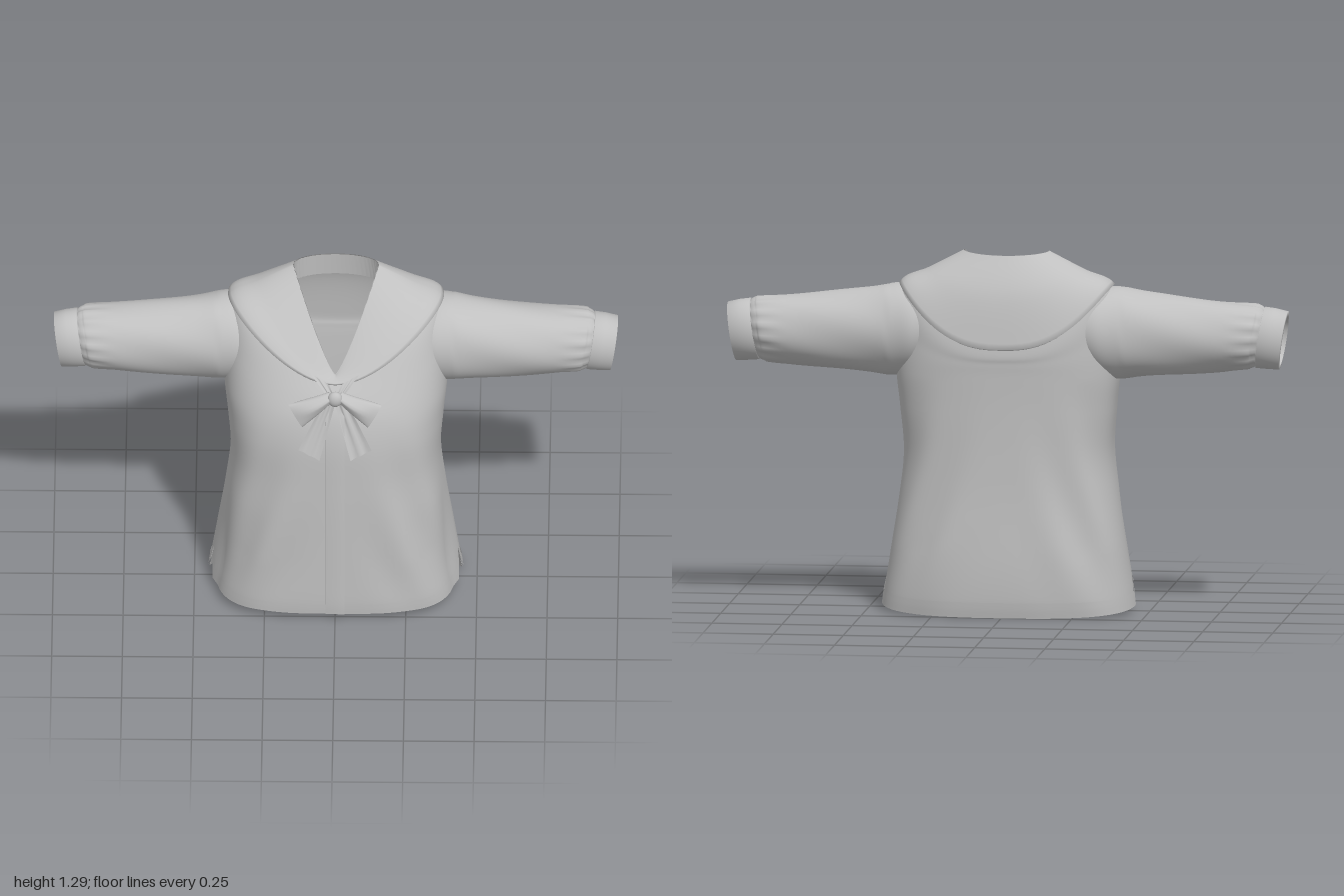
import * as THREE from 'three';

const fabric = new THREE.MeshStandardMaterial({ color: 0xc0c0c0, side: THREE.DoubleSide });
fabric.name = 'grey fabric';

// Surface through rows of points; closed rows wrap round, skipped quads leave a hole
function loft(rows, closed = true, skip = () => false) {
  const n = rows[0].length, index = [];
  for (let i = 0; i < rows.length - 1; i++) {
    for (let j = 0; j < (closed ? n : n - 1); j++) {
      const k = (j + 1) % n, a = i * n + j, b = i * n + k;
      if (!skip(rows[i][j])) index.push(a, a + n, b, b, a + n, b + n);
    }
  }
  const g = new THREE.BufferGeometry();
  g.setAttribute('position', new THREE.Float32BufferAttribute(rows.flat(2), 3));
  g.setIndex(index);
  g.computeVertexNormals();
  return g;
}

function add(parent, name, geometry) {
  const m = new THREE.Mesh(geometry, fabric);
  m.name = name;
  parent.add(m);
  return m;
}

// Smooth interpolation through a list of parameter rows
function sample(list, t) {
  const i = Math.min(Math.floor(t), list.length - 2), f = t - i;
  const at = (k) => list[Math.max(0, Math.min(list.length - 1, k))];
  const [p, q, r, s] = [at(i - 1), at(i), at(i + 1), at(i + 2)];
  return q.map((b, k) => {
    const m0 = (r[k] - p[k]) / 2, m1 = (s[k] - b) / 2, d = r[k] - b;
    return b + f * (m0 + f * (3 * d - 2 * m0 - m1 + f * (m0 + m1 - 2 * d)));
  });
}

// Torso rings: half width, side z, front z, back z, side y, front y, back y,
// front roundness, back roundness, drop from side to centre in front and behind
const TORSO = [
  [.45, .015, .272, -.25, .035, .035, .005, .64, .72, 1, 1],
  [.442, .015, .275, -.26, .09, .085, .07, .64, .72, 1, 1],
  [.423, .015, .275, -.262, .2, .2, .2, .66, .72, 1, 1],
  [.39, .0, .275, -.252, .42, .42, .42, .69, .74, 1, 1],
  [.372, -.02, .273, -.25, .58, .58, .58, .72, .75, 1, 1],
  [.383, -.04, .268, -.252, .74, .74, .74, .74, .75, 1, 1],
  [.395, -.05, .249, -.256, .87, .85, .86, .8, .74, 1.3, 1.3],
  [.39, -.06, .22, -.259, 1.04, .92, .91, .92, .74, 1.8, 2.2],
  [.37, -.07, .187, -.26, 1.175, .972, .962, 1.1, .78, 2.2, 2.9],
  [.27, -.08, .174, -.23, 1.228, .984, 1.15, 1.25, .87, 1.9, 2.2],
  [.15, -.085, .16, -.165, 1.293, .99, 1.283, 1.6, 1, 1.4, 1.4],
];
const N = 96;

function ring(p, off = 0, lift = 0) {
  const [w, zs, zf, zb, ys, yf, yb, ef, eb, kf, kb] = p, pts = [];
  const { clamp, smoothstep } = THREE.MathUtils;
  for (let j = 0; j < N; j++) {
    const a = (j / N) * Math.PI * 2;
    const c = j % (N / 2) === N / 4 ? 0 : Math.cos(a), s = j % (N / 2) === 0 ? 0 : Math.sin(a);
    const front = s >= 0, e = front ? ef : eb;
    const u = Math.abs(s) ** e;
    let x = Math.sign(c) * (w + off) * Math.abs(c) ** e;
    let z = zs + (front ? zf + off - zs : zb - off - zs) * u;
    let y = ys + ((front ? yf : yb) - ys) * u ** (front ? kf : kb) + lift;
    // the front panel is a little narrower towards the hem
    if (front) x *= 1 - .07 * Math.min(1, u * 3) * (1 - smoothstep(y, .1, .6));
    // side vents in the hem
    if (s === 0 && y < .145) {
      x = Math.sign(c) * (.432 + off);
      y = .145;
    }
    // soft drape folds, fading at the centre lines and at the bust
    const fade = clamp((.85 - y) * 2, 0, 1) * clamp(y * 4, 0, 1);
    const fold = .016 * fade * Math.abs(c * s) * Math.sin(Math.abs(c) * 11 + y * 9 + (front ? 0 : 2));
    z += fold * Math.sign(s);
    x += fold * .6 * Math.sign(c);
    pts.push([x, y, z]);
  }
  return pts;
}

function torsoRows(t0, t1, steps, off = () => 0, lift = 0) {
  return Array.from({ length: steps + 1 }, (_, i) => {
    const t = t0 + (t1 - t0) * i / steps;
    return ring(sample(TORSO, t), off(t), lift);
  });
}

// Openings where the sleeves join the torso
const inArmhole = ([x, y, z]) =>
  Math.abs(x) > .3 && ((y - 1) / .125) ** 2 + ((z + .06) / .11) ** 2 < 1;

// Sleeve sections: x, centre y, half height, centre z, half depth
const SLEEVE = [
  [.27, 1.025, .125, -.085, .125], [.33, 1.012, .155, -.075, .146], [.4, 1.008, .164, -.067, .14],
  [.5, 1.004, .15, -.063, .131], [.7, .999, .131, -.06, .12],
  [.85, 1, .117, -.06, .11], [.885, 1, .11, -.059, .099], [.905, .998, .1, -.058, .085],
];
const CUFF = [
  [.9, .998, .1, -.057, .083], [.902, .998, .109, -.057, .092], [.94, .994, .108, -.056, .09],
  [.983, .988, .104, -.055, .085], [.985, .988, .086, -.055, .073], [.9, .998, .087, -.057, .073],
];

function sleeveRing([x, cy, ry, cz, rz], side) {
  const pts = [], n = 60;
  const gather = Math.max(0, 1 - Math.abs(x - .875) / .09) * (x < .899 ? 1 : 0);
  const tilt = .15 * THREE.MathUtils.smoothstep(x, .75, .9);
  for (let j = 0; j < n; j++) {
    const a = (j / n) * Math.PI * 2;
    // gathers by the cuff and long soft creases along the arm
    const crease = x > .42 && x < .88 ? .012 * Math.sin(a * 5 + x * 14) : 0;
    const r = 1 + gather * .035 * Math.sin(a * 15) + crease;
    const dy = Math.cos(a) * ry * r;
    pts.push([side * (x + dy * tilt), cy + dy, cz - side * Math.sin(a) * rz * r]);
  }
  return pts;
}

// Bow leans out over the bust and follows the collar above the knot
const bowZ = (y) => .222 + (.95 - y) * (y > .95 ? .75 : .23);

function bowLoop(side) {
  const rows = [];
  for (let i = 0; i <= 8; i++) {
    const f = i / 8, cx = .015 + .125 * f, cy = .95 - .07 * f;
    const h = .016 + .034 * f, d = .008 + .016 * Math.sin(Math.PI * Math.min(1, f * .85 + .1));
    const row = [];
    for (let j = 0; j < 20; j++) {
      const a = (j / 20) * Math.PI * 2, v = Math.cos(a) * h;
      const pleat = 1 + .25 * Math.cos(a * 4) * (1 - f);
      const y = cy + v * .85;
      row.push([side * (cx + v * .5), y, bowZ(y) + .012 - side * Math.sin(a) * d * pleat]);
    }
    rows.push(row);
  }
  return loft(rows);
}

// Flat pleated ribbon between an inner and an outer edge
function ribbon(side, [ax, ay], [bx, by], [cx, cy], [dx, dy], lift) {
  const rows = [];
  for (let i = 0; i <= 6; i++) {
    const f = i / 6, row = [];
    for (let j = 0; j <= 8; j++) {
      const g = side > 0 ? j / 8 : 1 - j / 8, l = THREE.MathUtils.lerp;
      const x = l(l(ax, bx, g), l(cx, dx, g), f), y = l(l(ay, by, g), l(cy, dy, g), f);
      row.push([side * x, y, bowZ(y) + lift + .005 * Math.cos(g * Math.PI * 4) * (1 - f * .5)]);
    }
    rows.push(row);
  }
  return loft(rows, false);
}

export function createModel() {
  const model = new THREE.Group();
  model.name = 'sailorBlouse';

  // Torso with its hem band and turned-in facing
  add(model, 'torso', loft(torsoRows(0, 10, 80), true, inArmhole));
  add(model, 'hemBand', loft(torsoRows(0, .9, 4, () => .003)));
  add(model, 'hemFacing', loft(torsoRows(0, 1.2, 5, (t) => -.014 * Math.min(1, t * 20 + .2))));

  // Broad collar with a turned edge, and the neck band inside it
  const collarRows = torsoRows(8, 10, 14, (t) => .012 * (1 - (t - 8) * .4), .005);
  collarRows.unshift(ring(TORSO[8], .001));
  add(model, 'collar', loft(collarRows));
  const band = [.154, -.085, .163, -.17, 1.21, .985, 1.2, 1.6, 1, 1.4, 1.4];
  const bandRows = [ring(band), ring(TORSO[10], -.002, .005)].map((row) =>
    row.map(([x, y, z], j) => [x * (1 + (j % 2) * .03), y, z]));
  add(model, 'neckBand', loft(bandRows));

  // Button placket down the front, with a raised overlapping edge
  const placket = [];
  for (let i = 0; i <= 32; i++) {
    const [, , z, , , y] = sample(TORSO, i / 32 * 7.2);
    placket.push([[.034, y, z], [.033, y, z + .007], [0, y, z + .005], [-.034, y, z + .004], [-.035, y, z]]);
  }
  add(model, 'placket', loft(placket, false));

  // Sleeves and cuffs
  for (const side of [1, -1]) {
    const label = side > 0 ? 'left' : 'right';
    const rows = [];
    for (let i = 0; i <= 49; i++) rows.push(sleeveRing(sample(SLEEVE, i / 7), side));
    add(model, label + 'Sleeve', loft(rows));
    add(model, label + 'Cuff', loft(CUFF.map((c) => sleeveRing(c, side))));
  }

  // Ribbon bow
  const bow = new THREE.Group();
  bow.name = 'bow';
  model.add(bow);
  for (const side of [1, -1]) {
    const label = side > 0 ? 'left' : 'right';
    add(bow, label + 'BowLoop', bowLoop(side));
    add(bow, label + 'BowTail', ribbon(side, [0, .925], [.035, .945], [.055, .71], [.13, .75], .008));
    add(bow, label + 'BowTie', ribbon(side, [0, .94], [.02, .94], [.02, .98], [.085, 1.01], .002));
  }
  const knot = add(bow, 'bowKnot', new THREE.SphereGeometry(1, 16, 12));
  knot.scale.set(.027, .03, .02);
  knot.position.set(0, .945, bowZ(.945) + .016);
  return model;
}
